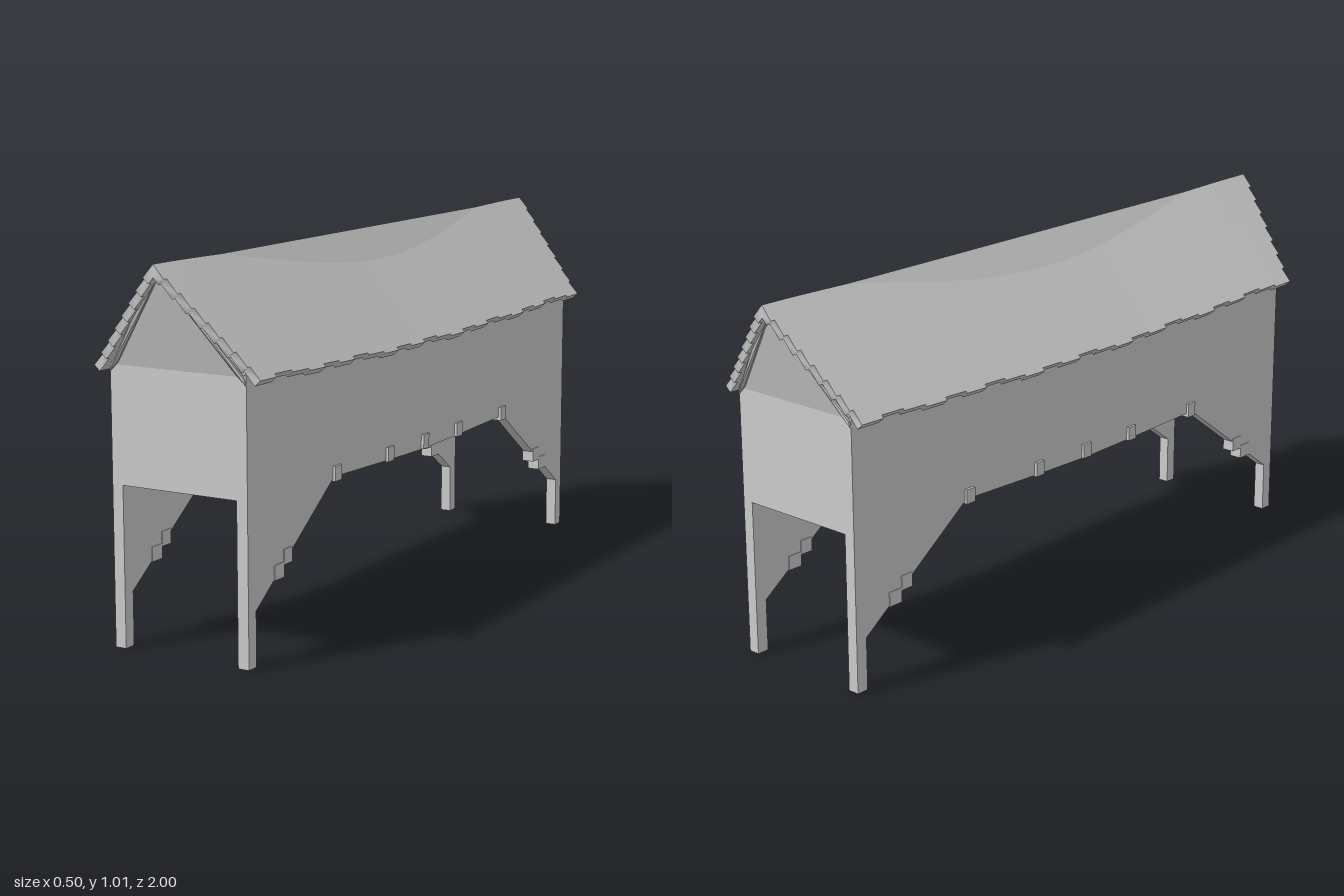
import * as THREE from 'three';

const mat = new THREE.MeshStandardMaterial({ color: 0xcccccc, side: THREE.DoubleSide });

function add(parent, name, geo, x = 0, y = 0, z = 0) {
  const mesh = new THREE.Mesh(geo, mat);
  mesh.name = name;
  mesh.position.set(x, y, z);
  parent.add(mesh);
  return mesh;
}

// Extrude an outline, centred on its depth
function slab(points, depth) {
  const shape = new THREE.Shape(points.map(([a, b]) => new THREE.Vector2(a, b)));
  return new THREE.ExtrudeGeometry(shape, { depth, bevelEnabled: false }).translate(0, 0, -depth / 2);
}

// Move every vertex of a geometry by a rule
function bend(geo, rule) {
  const p = geo.attributes.position;
  const v = new THREE.Vector3();
  for (let i = 0; i < p.count; i++) {
    v.fromBufferAttribute(p, i);
    rule(v);
    p.setXYZ(i, v.x, v.y, v.z);
  }
  geo.computeVertexNormals();
  return geo;
}

// The gable ends lean outward towards the ridge
const lean = (y) => Math.max(0, (y - 0.74) / 0.27) * 0.075;

// One roof slope: stepped courses at both ends, uneven boards along the eave, sagging middle
function roofSlope() {
  const courses = 8, boards = 24, thick = 0.022;
  const rows = 2 * courses - 1, cols = 2 * boards - 1;
  const geo = new THREE.BoxGeometry(1, 1, 1, rows, 1, cols);
  return bend(geo, (v) => {
    const r = Math.round((v.x + 0.5) * rows);
    const c = Math.round((v.z + 0.5) * cols);
    const course = Math.floor(r / 2);
    const board = Math.floor(c / 2);
    let u = Math.ceil(r / 2) / courses;
    if (r === rows) u -= 0.035 * ((board * 7) % 5) / 4;
    const z = (2 * Math.ceil(c / 2) / boards - 1) * (1 - 0.09 * course / (courses - 1));
    const sag = 0.02 * (1 - z * z) ** 2;
    let x = 0.25 * u, y = 1.015 - 0.28 * u - sag;
    if (v.y < 0) {
      if (r === 0) y -= thick / 0.666;
      else { x -= thick * 0.746; y -= thick * 0.666; }
    }
    v.set(x, y, z);
  });
}

export function createModel() {
  const model = new THREE.Group();
  model.name = 'raisedBarn';

  // Side walls with legs and slanted braces cut from one profile
  const half = [[0.905, 0.745], [0.905, 0], [0.87, 0], [0.87, 0.145], [0.49, 0.415], [0.2, 0.406]];
  const profile = [...half, [0, 0.402], ...half.map(([z, y]) => [-z, y]).reverse()];
  for (const side of [1, -1]) {
    const wall = add(model, side > 0 ? 'leftWall' : 'rightWall', slab(profile, 0.032), side * 0.188);
    wall.rotation.y = Math.PI / 2;

    // Stepped blocks under the braces
    for (const end of [1, -1]) {
      add(model, 'braceBlock', new THREE.BoxGeometry(0.036, 0.04, 0.04), side * 0.188, 0.255, end * 0.72);
      add(model, 'braceBlock', new THREE.BoxGeometry(0.036, 0.04, 0.045), side * 0.188, 0.223, end * 0.7625);
    }
  }

  // End walls and leaning gables
  for (const end of [1, -1]) {
    const name = end > 0 ? 'front' : 'back';
    add(model, name + 'Wall', new THREE.BoxGeometry(0.346, 0.315, 0.03), 0, 0.5875, end * 0.89);
    const gable = slab([[-0.2, 0.74], [0.2, 0.74], [0, 1.0]], 0.03);
    add(model, name + 'Gable', bend(gable, (v) => { v.z += end * (0.89 + lean(v.y)); }));
  }

  // Sagging floor on cross beams
  const floor = new THREE.BoxGeometry(0.35, 0.02, 1.8, 1, 1, 24);
  add(model, 'floor', bend(floor, (v) => { v.y += 0.44 - 0.022 * (1 - (v.z / 0.9) ** 2); }));
  for (const z of [-0.48, -0.2, 0, 0.2, 0.48]) {
    add(model, 'crossBeam', new THREE.BoxGeometry(0.424, 0.04, 0.032), 0, 0.424, z);
  }

  // Straight rafters under the roof, showing along the ridge where the roof sags
  const rafters = slab([[0, 1.01], [0.2, 0.736], [0.205, 0.72], [0.175, 0.75], [0, 0.985],
    [-0.175, 0.75], [-0.205, 0.72], [-0.2, 0.736]], 1.82);
  add(model, 'rafters', bend(rafters, (v) => { v.z += Math.sign(v.z) * lean(v.y); }));

  // Roof slopes
  add(model, 'leftRoof', roofSlope());
  add(model, 'rightRoof', roofSlope()).rotation.y = Math.PI;

  return model;
}
